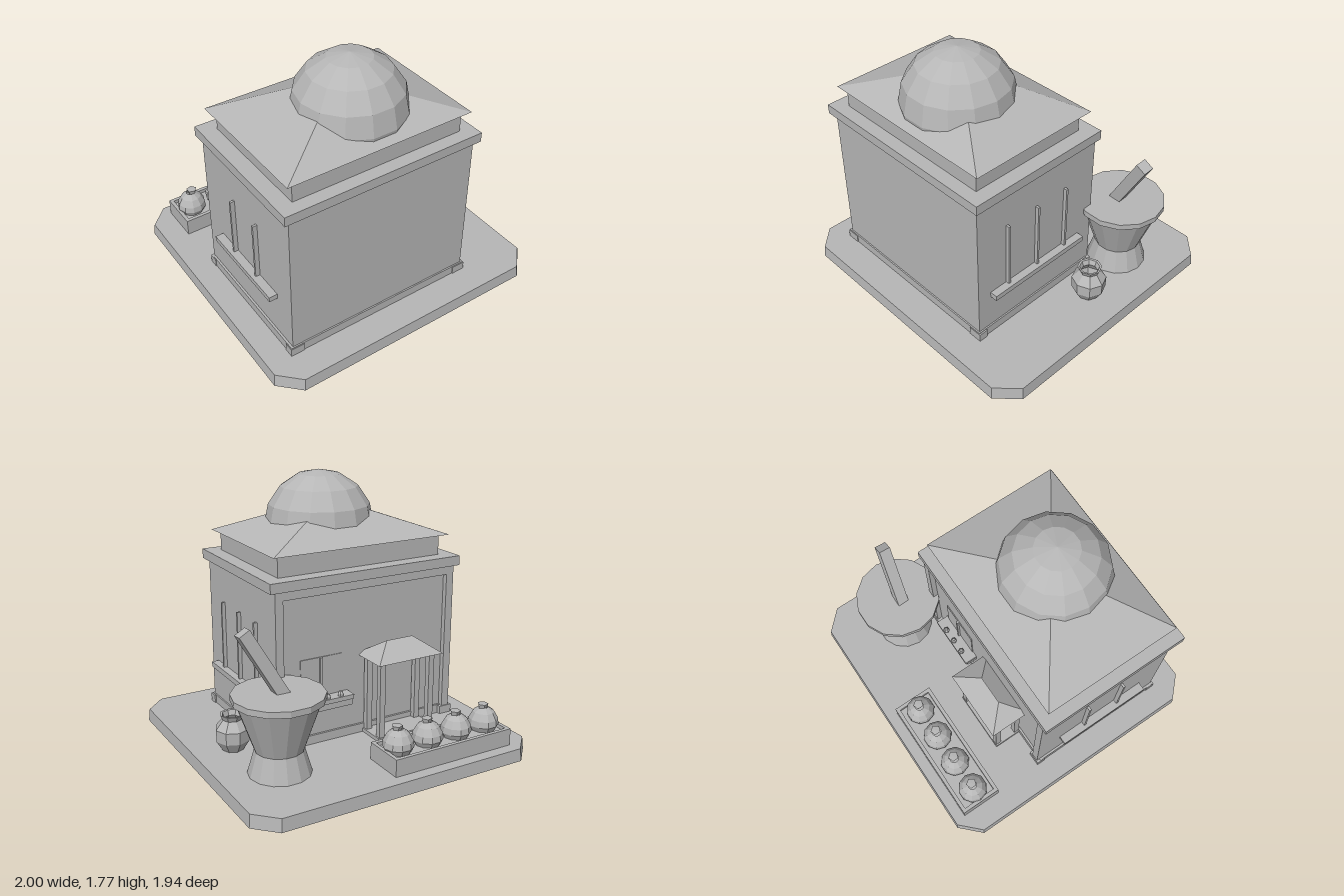
import * as THREE from 'three';

const stone = new THREE.MeshStandardMaterial({ color: 0xb6b6b6, flatShading: true, side: THREE.DoubleSide });
stone.name = 'grey stone';

export function createModel() {
  const root = new THREE.Group();

  const add = (name, geo, x = 0, y = 0, z = 0) => {
    const mesh = new THREE.Mesh(geo, stone);
    mesh.name = name;
    mesh.position.set(x, y, z);
    root.add(mesh);
    return mesh;
  };

  // Box given by its limits on each axis
  const boxGeo = (x0, x1, y0, y1, z0, z1) =>
    new THREE.BoxGeometry(x1 - x0, y1 - y0, z1 - z0)
      .translate((x0 + x1) / 2, (y0 + y1) / 2, (z0 + z1) / 2);
  const box = (name, ...limits) => add(name, boxGeo(...limits));

  // Removes the faces lying on the lowest plane, leaving an open underside
  const openBottom = (geo) => {
    const g = geo.index ? geo.toNonIndexed() : geo;
    g.computeBoundingBox();
    const low = g.boundingBox.min.y + 1e-4;
    const p = g.attributes.position, kept = [];
    for (let i = 0; i < p.count; i += 3) {
      if (p.getY(i) < low && p.getY(i + 1) < low && p.getY(i + 2) < low) continue;
      for (let k = i; k < i + 3; k++) kept.push(p.getX(k), p.getY(k), p.getZ(k));
    }
    const out = new THREE.BufferGeometry();
    out.setAttribute('position', new THREE.Float32BufferAttribute(kept, 3));
    out.computeVertexNormals();
    return out;
  };

  // Hip roof: a box whose top is drawn in to a ridge of the given length
  const hipRoof = (name, x0, x1, y0, y1, z0, z1, ridge) => {
    const w = x1 - x0;
    const geo = new THREE.BoxGeometry(w, y1 - y0, z1 - z0);
    const p = geo.attributes.position;
    for (let i = 0; i < p.count; i++) {
      if (p.getY(i) > 0) p.setXYZ(i, p.getX(i) * ridge / w, p.getY(i), p.getZ(i) * 0.01);
    }
    geo.computeVertexNormals();
    return add(name, geo, (x0 + x1) / 2, (y0 + y1) / 2, (z0 + z1) / 2);
  };

  const lathe = (name, profile, sides, x, y, z) =>
    add(name, new THREE.LatheGeometry(profile.map(([r, h]) => new THREE.Vector2(r, h)), sides, Math.PI / 2), x, y, z);

  // Ground slab with cut corners, slightly tapered, hollow below
  const W = 1, D = 0.97, C = 0.135, GROUND = 0.085;
  const outline = new THREE.Shape([
    [-W + C, -D], [W - C, -D], [W, -D + C], [W, D - C],
    [W - C, D], [-W + C, D], [-W, D - C], [-W, -D + C],
  ].map(([x, y]) => new THREE.Vector2(x, y)));
  const slab = new THREE.ExtrudeGeometry(outline, { depth: GROUND, bevelEnabled: false }).rotateX(-Math.PI / 2);
  const sp = slab.attributes.position;
  for (let i = 0; i < sp.count; i++) {
    if (sp.getY(i) > 0.01) sp.setXYZ(i, sp.getX(i) * 0.992, sp.getY(i), sp.getZ(i) * 0.992);
  }
  add('groundSlab', openBottom(slab));

  // House body: plinth, walls, corner pilasters on the recessed back, cornice
  add('plinth', openBottom(boxGeo(-0.825, 0.535, 0.05, 0.145, -0.235, 0.76)));
  box('walls', -0.81, 0.525, GROUND, 1.145, -0.22, 0.75);
  for (const [x0, x1] of [[-0.81, -0.755], [0.47, 0.525]]) {
    box('backPilaster', x0, x1, GROUND, 1.145, -0.255, -0.21);
    box('pilasterFoot', x0 - 0.02, x1 + 0.02, GROUND, 0.14, -0.262, -0.2);
    box('frontFoot', x0 - 0.02, x1 + 0.02, GROUND, 0.14, 0.7, 0.765);
  }
  box('backLintel', -0.81, 0.525, 1.09, 1.145, -0.255, -0.21);
  box('cornice', -0.85, 0.56, 1.145, 1.21, -0.265, 0.78);
  box('attic', -0.745, 0.46, 1.21, 1.35, -0.165, 0.69);

  // Roof and dome
  hipRoof('roof', -0.795, 0.51, 1.35, 1.585, -0.215, 0.727, 0.01);
  add('dome', new THREE.SphereGeometry(0.37, 14, 5, 0, Math.PI * 2, 0, Math.PI * 5 / 8), -0.1, 1.4, 0.315);

  // Side ledges with upright bars
  box('rightLedge', 0.52, 0.577, 0.388, 0.425, -0.135, 0.65);
  for (const z of [0.51, 0.26, 0.01]) box('rightBar', 0.52, 0.55, 0.42, 0.89, z - 0.008, z + 0.008);
  box('leftLedge', -0.867, -0.8, 0.425, 0.46, -0.08, 0.59);
  for (const z of [0.11, 0.38]) box('leftBar', -0.84, -0.8, 0.455, 0.86, z - 0.008, z + 0.008);

  // Back niche panel with a bar, and a shelf of little pots
  box('nichePanel', 0.04, 0.34, 0.4, 0.67, -0.226, -0.219);
  box('nicheBar', 0.19, 0.206, 0.4, 0.67, -0.24, -0.21);
  box('shelf', 0, 0.36, 0.33, 0.375, -0.295, -0.21);
  box('shelfTop', -0.005, 0.365, 0.375, 0.405, -0.31, -0.21);
  for (const x of [0.085, 0.18, 0.275]) {
    lathe('shelfPot', [[0, 0], [0.02, 0.005], [0.02, 0.022], [0.01, 0.035], [0, 0.037]], 6, x, 0.403, -0.288);
  }

  // Back porch: floor, posts and hipped canopy
  add('porchFloor', openBottom(boxGeo(-0.56, -0.12, 0.02, 0.11, -0.43, -0.235)));
  for (const x of [-0.53, -0.15]) {
    for (const z of [-0.405, -0.25]) box('porchPost', x - 0.02, x + 0.02, GROUND, 0.635, z - 0.02, z + 0.02);
  }
  hipRoof('canopy', -0.585, -0.092, 0.63, 0.735, -0.47, -0.18, 0.2);

  // Trough holding four domed jars
  const [tx0, tx1, tz0, tz1] = [-0.835, 0.05, -0.885, -0.6];
  box('troughFloor', tx0, tx1, GROUND, 0.175, tz0, tz1);
  const rim = 0.025;
  box('troughRim', tx0, tx1, 0.175, 0.2, tz0, tz0 + rim);
  box('troughRim', tx0, tx1, 0.175, 0.2, tz1 - rim, tz1);
  box('troughRim', tx0, tx0 + rim, 0.175, 0.2, tz0 + rim, tz1 - rim);
  box('troughRim', tx1 - rim, tx1, 0.175, 0.2, tz0 + rim, tz1 - rim);
  for (let i = 0; i < 4; i++) {
    const x = -0.725 + i * 0.2217;
    lathe('jar', [[0.08, 0.17], [0.1, 0.21], [0.095, 0.25], [0.07, 0.295], [0.03, 0.325]], 10, x, 0, -0.74);
    lathe('jarKnob', [[0.026, 0.315], [0.036, 0.348], [0, 0.35]], 5, x + 0.01, 0, -0.74);
  }

  // Large mortar and its leaning pestle
  lathe('mortar', [
    [0.2, GROUND], [0.155, 0.24], [0.265, 0.55], [0.29, 0.56], [0.29, 0.6], [0, 0.6],
  ], 14, 0.615, 0, -0.46);
  const foot = new THREE.Vector3(0.55, 0.52, -0.459), tip = new THREE.Vector3(0.815, 0.993, -0.405);
  const axis = tip.clone().sub(foot);
  const pestle = add('pestle', new THREE.BoxGeometry(0.078, axis.length(), 0.078));
  pestle.position.copy(foot).lerp(tip, 0.5);
  pestle.quaternion.setFromUnitVectors(new THREE.Vector3(0, 1, 0), axis.normalize());

  // Open water pot beside the house
  lathe('waterPot', [
    [0, GROUND + 0.002], [0.07, GROUND + 0.002], [0.112, 0.155], [0.114, 0.235], [0.064, 0.295], [0.08, 0.33],
    [0.066, 0.328], [0.052, 0.295], [0.09, 0.235], [0.06, 0.11], [0, 0.11],
  ], 8, 0.735, 0, -0.035);

  return root;
}
